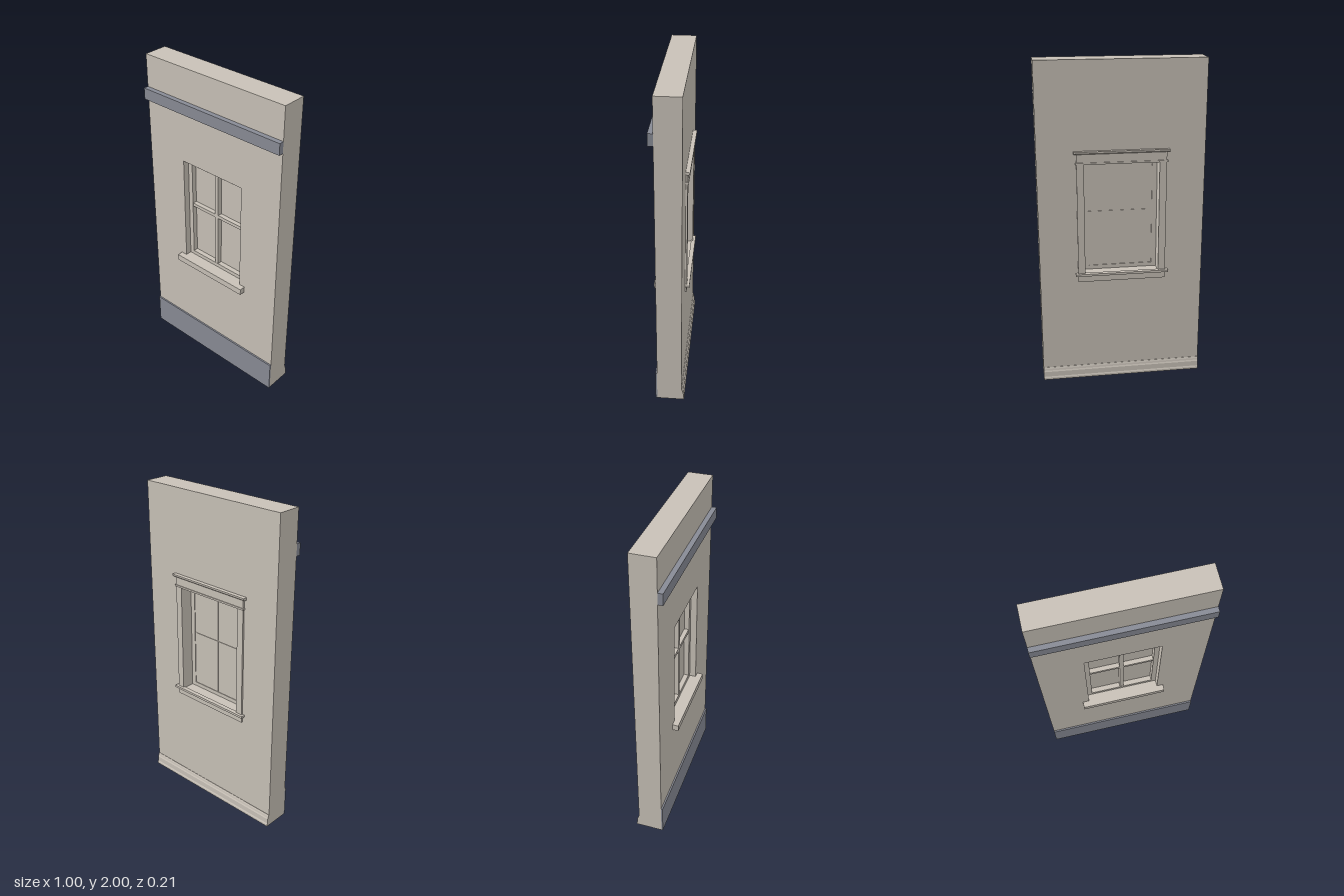
import * as THREE from 'three';

const plaster = new THREE.MeshStandardMaterial({ color: 0xc8c1b7 });
plaster.name = 'warm plaster';
const slate = new THREE.MeshStandardMaterial({ color: 0x888b95 });
slate.name = 'slate grey trim';

export function createModel() {
  const model = new THREE.Group();
  model.name = 'windowWall';

  // Box given by its low and high limits on each axis
  const box = (name, [x0, x1], [y0, y1], [z0, z1], mat = plaster, parent = model) => {
    const mesh = new THREE.Mesh(new THREE.BoxGeometry(x1 - x0, y1 - y0, z1 - z0), mat);
    mesh.position.set((x0 + x1) / 2, (y0 + y1) / 2, (z0 + z1) / 2);
    mesh.name = name;
    parent.add(mesh);
    return mesh;
  };
  // Profile of [z, y] points swept along x, centred on x = 0
  const moulding = (name, points, length, parent = model) => {
    const shape = new THREE.Shape(points.map(([z, y]) => new THREE.Vector2(-z, y)));
    const geo = new THREE.ExtrudeGeometry(shape, { depth: length, bevelEnabled: false });
    geo.translate(0, 0, -length / 2).rotateY(Math.PI / 2);
    const mesh = new THREE.Mesh(geo, plaster);
    mesh.name = name;
    parent.add(mesh);
  };
  // Rectangular panel with rectangular holes, each [x0, x1, y0, y1]
  const panel = (name, outer, holes, [z0, z1], parent = model) => {
    const corners = ([a, b, c, d]) => [[a, c], [b, c], [b, d], [a, d]].map(p => new THREE.Vector2(...p));
    const shape = new THREE.Shape(corners(outer));
    holes.forEach(h => shape.holes.push(new THREE.Path(corners(h))));
    const geo = new THREE.ExtrudeGeometry(shape, { depth: z1 - z0, bevelEnabled: false });
    const mesh = new THREE.Mesh(geo.translate(0, 0, z0), plaster);
    mesh.name = name;
    parent.add(mesh);
  };

  // Wall with the window opening
  panel('wall', [-0.5, 0.5, 0, 2], [[-0.225, 0.225, 0.71, 1.405]], [-0.08, 0.07]);

  // Outside plinth and string course
  box('plinth', [-0.5, 0.5], [0, 0.2], [0.07, 0.08], slate);
  box('stringCourse', [-0.5, 0.5], [1.73, 1.8], [0.07, 0.1], slate);

  // Inside skirting with a stepped, sloping top
  moulding('skirting', [
    [-0.08, 0], [-0.097, 0], [-0.097, 0.012], [-0.093, 0.02], [-0.092, 0.052],
    [-0.088, 0.06], [-0.086, 0.07], [-0.082, 0.08], [-0.08, 0.08],
  ], 1);

  // Sash window: frame with four lights, and panes
  const win = new THREE.Group();
  win.name = 'window';
  model.add(win);
  panel('sashFrame', [-0.225, 0.225, 0.71, 1.405], [[-0.195, 0.195, 0.735, 1.372]], [-0.01, 0.03], win);
  box('verticalBar', [-0.012, 0.012], [0.735, 1.372], [-0.003, 0.028], plaster, win);
  box('horizontalBar', [-0.195, 0.195], [1.078, 1.1], [-0.003, 0.027], plaster, win);
  for (const sx of [-1, 1]) {
    const xs = sx < 0 ? [-0.195, -0.003] : [0.003, 0.195];
    box('lowerPane', xs, [0.735, 1.086], [-0.006, -0.001], plaster, win);
    box('upperPane', xs, [1.092, 1.372], [-0.006, -0.001], plaster, win);
  }

  // Outside sill
  box('outerSill', [-0.265, 0.265], [0.67, 0.71], [0.07, 0.107]);

  // Inside casing around the opening
  const casing = new THREE.Group();
  casing.name = 'innerCasing';
  model.add(casing);
  for (const s of [-1, 1]) {
    const xs = [s * 0.225, s * 0.268].sort((a, b) => a - b);
    box('sideCasing', xs, [0.715, 1.4], [-0.091, -0.08], plaster, casing);
  }
  box('headFillet', [-0.274, 0.274], [1.4, 1.411], [-0.097, -0.08], plaster, casing);
  box('headBoard', [-0.268, 0.268], [1.411, 1.462], [-0.092, -0.08], plaster, casing);
  moulding('headCap', [
    [-0.08, 1.462], [-0.098, 1.462], [-0.105, 1.468], [-0.105, 1.478], [-0.08, 1.478],
  ], 0.568, casing);
  box('innerSill', [-0.284, 0.284], [0.702, 0.716], [-0.107, -0.08], plaster, casing);
  box('apron', [-0.268, 0.268], [0.66, 0.702], [-0.089, -0.08], plaster, casing);

  return model;
}
